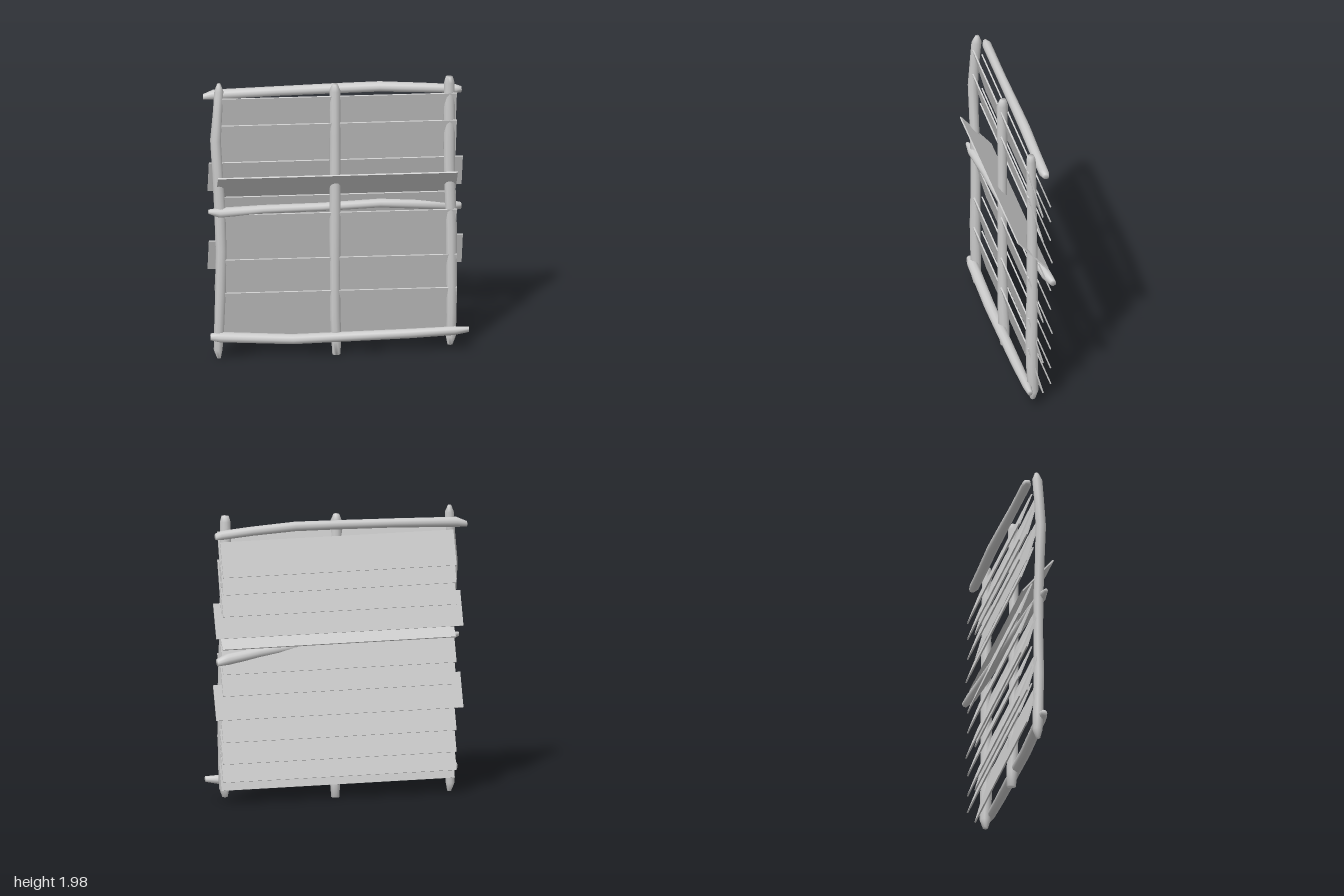
import * as THREE from 'three';

// Crooked round branch through stations [x, y, z, radius], with closed ends
function branch(name, stations, material, seed) {
  const sides = 10, last = stations.length - 1;
  const points = stations.map(s => new THREE.Vector3(s[0], s[1], s[2]));
  const axis = points[last].clone().sub(points[0]).normalize();
  const u = new THREE.Vector3(0, 0, 1);
  u.addScaledVector(axis, -u.dot(axis)).normalize();
  const v = new THREE.Vector3().crossVectors(axis, u);
  const pos = [], idx = [];
  points.forEach((c, i) => {
    for (let j = 0; j < sides; j++) {
      const a = j / sides * Math.PI * 2;
      const r = stations[i][3] * (1 + 0.07 * Math.sin(2 * a + seed + i * 0.7));
      const p = c.clone().addScaledVector(u, Math.cos(a) * r).addScaledVector(v, Math.sin(a) * r);
      pos.push(p.x, p.y, p.z);
      if (i < last) {
        const n = (j + 1) % sides, b = i * sides;
        idx.push(b + j, b + n, b + sides + j, b + n, b + sides + n, b + sides + j);
      }
    }
  });
  for (let j = 1; j < sides - 1; j++) {
    const e = last * sides;
    idx.push(0, j + 1, j, e, e + j, e + j + 1);
  }
  const g = new THREE.BufferGeometry();
  g.setAttribute('position', new THREE.Float32BufferAttribute(pos, 3));
  g.setIndex(idx);
  g.computeVertexNormals();
  const mesh = new THREE.Mesh(g, material);
  mesh.name = name;
  return mesh;
}

// Thin board of the given half width, from its top edge to its bottom edge in the y-z plane
function slat(name, [yTop, zTop, yBot, zBot], half, material, roll) {
  const dy = yTop - yBot, dz = zTop - zBot;
  const mesh = new THREE.Mesh(new THREE.BoxGeometry(half * 2, Math.hypot(dy, dz), 0.01), material);
  mesh.position.set(0, (yTop + yBot) / 2, (zTop + zBot) / 2);
  mesh.rotation.set(Math.atan2(dz, dy), 0, roll);
  mesh.name = name;
  return mesh;
}

export function createModel() {
  const model = new THREE.Group();
  const wood = new THREE.MeshStandardMaterial({ color: 0xcccccc });
  wood.name = 'pale grey wood';

  // Upright posts
  model.add(
    branch('rightPost', [
      [-0.80, 2.0, 0.02, 0.012], [-0.80, 1.95, 0.025, 0.033], [-0.81, 1.8, 0.035, 0.033],
      [-0.825, 1.6, 0.044, 0.036], [-0.81, 1.35, 0.04, 0.035], [-0.795, 1.1, 0.035, 0.037],
      [-0.785, 0.8, 0.035, 0.036], [-0.79, 0.5, 0.038, 0.037], [-0.80, 0.2, 0.03, 0.036],
      [-0.805, 0.08, 0.025, 0.033], [-0.80, 0.02, 0.03, 0.014]], wood, 1),
    branch('centrePost', [
      [-0.01, 1.975, 0.03, 0.02], [-0.01, 1.93, 0.035, 0.038], [-0.01, 1.6, 0.035, 0.035],
      [-0.01, 1.25, 0.035, 0.035], [-0.01, 0.95, 0.035, 0.037], [-0.01, 0.6, 0.035, 0.035],
      [-0.008, 0.3, 0.03, 0.037], [0, 0.12, 0.025, 0.037], [0, 0.02, 0.02, 0.03]], wood, 2),
    branch('leftPost', [
      [0.77, 2.0, 0.025, 0.024], [0.77, 1.96, 0.022, 0.034], [0.77, 1.7, 0.018, 0.037],
      [0.77, 1.45, 0.016, 0.037], [0.775, 1.2, 0.016, 0.038], [0.785, 0.9, 0.018, 0.039],
      [0.785, 0.5, 0.022, 0.04], [0.785, 0.3, 0.018, 0.038], [0.78, 0.12, 0.01, 0.036],
      [0.775, 0.06, 0.01, 0.018]], wood, 3));

  // Cross beams
  model.add(
    branch('topBeam', [
      [-0.9, 1.88, -0.06, 0.018], [-0.83, 1.895, -0.055, 0.033], [-0.4, 1.908, -0.05, 0.031],
      [0, 1.915, -0.05, 0.033], [0.3, 1.918, -0.05, 0.035], [0.6, 1.9, -0.05, 0.034],
      [0.82, 1.882, -0.055, 0.033], [0.86, 1.875, -0.06, 0.022]], wood, 4),
    branch('middleBeam', [
      [-0.875, 1.095, 0.07, 0.014], [-0.8, 1.08, 0.055, 0.032], [-0.5, 1.085, 0.03, 0.029],
      [-0.1, 1.08, 0.005, 0.029], [0.3, 1.085, -0.02, 0.032], [0.55, 1.06, -0.05, 0.036],
      [0.78, 1.03, -0.085, 0.038], [0.86, 1.015, -0.11, 0.024]], wood, 5),
    branch('bottomBeam', [
      [-0.86, 0.185, 0.06, 0.022], [-0.8, 0.18, 0.055, 0.035], [-0.3, 0.148, 0.055, 0.036],
      [0.1, 0.155, 0.055, 0.036], [0.5, 0.162, 0.055, 0.035], [0.8, 0.172, 0.055, 0.031],
      [0.9, 0.18, 0.06, 0.018]], wood, 6));

  // Back layer: short overlapping slats, two of them wider than the frame
  [1.6, 1.48, 1.33, 1.18, 0.93, 0.78, 0.615, 0.46, 0.31, 0.185].forEach((bottom, i) =>
    model.add(slat('backSlat' + (i + 1), [bottom + 0.23, -0.018, bottom, -0.103],
      i === 3 || i === 6 ? 0.865 : 0.817, wood, -0.005)));

  // Front layer: longer, steeper slats that cut into the posts
  [1.895, 1.7, 1.055, 0.73, 0.49].forEach((top, i) =>
    model.add(slat('frontSlat' + (i + 1), [top, 0.052, top - 0.37, -0.05], 0.817, wood, -0.007)));

  // One slipped slat leaning the other way through the panel
  model.add(slat('looseSlat', [1.35, 0.13, 1.1, -0.085], 0.817, wood, -0.008));
  return model;
}
